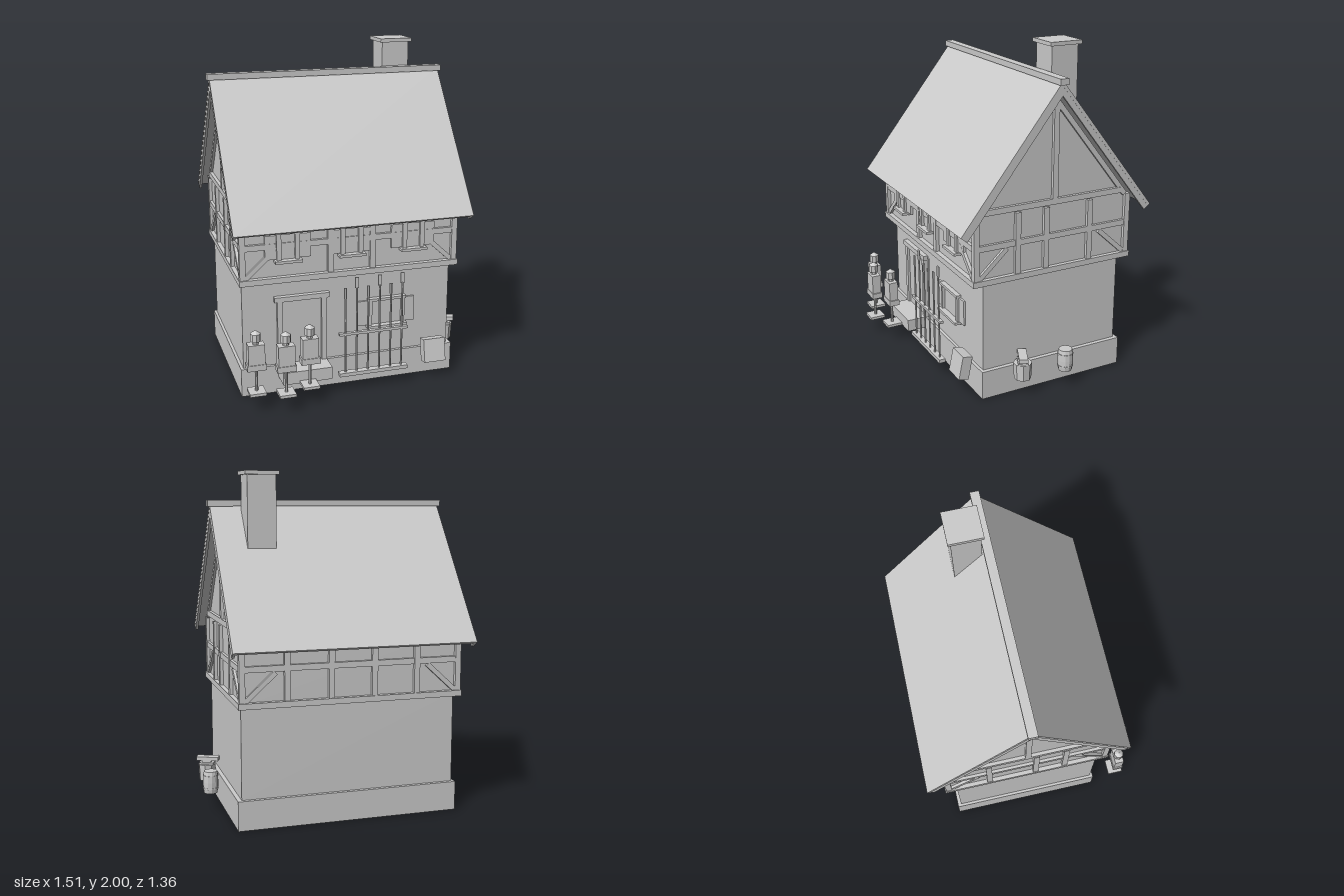
import * as THREE from 'three';

const grey = new THREE.MeshStandardMaterial({ color: 0xcccccc, flatShading: true });
grey.name = 'plain grey';
const CX = -0.0325, CZ = -0.0625; // middle of the house

function add(parent, name, geo, x = 0, y = 0, z = 0) {
  const m = new THREE.Mesh(geo, grey);
  m.name = name;
  m.position.set(x, y, z);
  parent.add(m);
  return m;
}

function group(parent, name, x = 0, y = 0, z = 0, ry = 0) {
  const g = new THREE.Group();
  g.name = name;
  g.position.set(x, y, z);
  g.rotation.y = ry;
  parent.add(g);
  return g;
}

// box given by its limits on each axis
function block(parent, name, x0, x1, y0, y1, z0, z1) {
  return add(parent, name, new THREE.BoxGeometry(x1 - x0, y1 - y0, z1 - z0),
    (x0 + x1) / 2, (y0 + y1) / 2, (z0 + z1) / 2);
}

// straight timber on a wall plane between two points
function beam(parent, name, ax, ay, bx, by, w = 0.034, d = 0.034) {
  const m = add(parent, name, new THREE.BoxGeometry(Math.hypot(bx - ax, by - ay), w, d),
    (ax + bx) / 2, (ay + by) / 2, 0);
  m.rotation.z = Math.atan2(by - ay, bx - ax);
  return m;
}

// cross-section (z, y), centred on the ridge line, drawn out along x
function alongX(parent, name, pts, x0, x1) {
  const shape = new THREE.Shape(pts.map(([z, y]) => new THREE.Vector2(-z, y)));
  const geo = new THREE.ExtrudeGeometry(shape, { depth: x1 - x0, bevelEnabled: false });
  geo.rotateY(Math.PI / 2);
  return add(parent, name, geo, x0, 0, CZ);
}

// inverted V of a given thickness under the roof surface
function roofProfile(t) {
  const run = 0.615, top = 1.82, low = 1.035;
  const len = Math.hypot(run, top - low);
  const nz = (top - low) / len * t, ny = run / len * t;
  const drop = t * len / run;
  return [[run, low], [0, top], [-run, low], [-run + nz, low - ny], [0, top - drop], [run - nz, low - ny]];
}

// framed window with a sill and open shutters, on the plane z = 0
function windowUnit(parent, x, y0, y1, w, shutter, sy0, sy1, bar) {
  const g = group(parent, 'window', x);
  const h = w / 2;
  block(g, 'windowPane', -h + bar, h - bar, y0, y1, -0.01, 0.008);
  for (const s of [-1, 1]) {
    const c = s * (h - bar / 2);
    block(g, 'windowJamb', c - bar / 2, c + bar / 2, y0, y1, -0.01, 0.025);
    const sc = s * (h + shutter / 2);
    block(g, 'shutter', sc - shutter / 2, sc + shutter / 2, sy0, sy1, -0.01, 0.012);
  }
  block(g, 'windowLintel', -h - 0.006, h + 0.006, y1 - bar * 0.8, y1, -0.01, 0.03);
  block(g, 'windowSill', -h - 0.012, h + 0.012, y0, y0 + 0.016, -0.01, 0.045);
}

// posts, rails and corner braces of one upper wall; posts run from -half to half
function timberWall(parent, name, x, z, ry, half, inner, top) {
  const g = group(parent, name, x, 0, z, ry);
  const edge = half - 0.017;
  for (const u of [-edge, ...inner, edge]) beam(g, 'post', u, 0.73, u, top);
  beam(g, 'middleRail', -edge, 0.923, edge, 0.923, 0.034, 0.028);
  for (const s of [-1, 1]) {
    beam(g, 'cornerBrace', s * (edge - 0.015), 0.74, s * (edge - 0.19), 0.9, 0.028, 0.026);
  }
  return g;
}

function dummy(parent, x, z) {
  const g = group(parent, 'trainingDummy', x, 0, z);
  block(g, 'dummyBase', -0.048, 0.048, 0.1, 0.117, -0.048, 0.048);
  add(g, 'dummyPost', new THREE.CylinderGeometry(0.009, 0.009, 0.15, 8), 0, 0.19, 0);
  block(g, 'dummyBelt', -0.056, 0.056, 0.25, 0.285, -0.032, 0.032);
  block(g, 'dummyTorso', -0.048, 0.048, 0.285, 0.405, -0.028, 0.028);
  add(g, 'dummyNeck', new THREE.CylinderGeometry(0.018, 0.018, 0.03, 8), 0, 0.415, 0);
  add(g, 'dummyHead', new THREE.CylinderGeometry(0.03, 0.03, 0.045, 8), 0, 0.445, 0);
  add(g, 'dummyCap', new THREE.ConeGeometry(0.03, 0.02, 8), 0, 0.477, 0);
}

export function createModel() {
  const model = new THREE.Group();
  model.name = 'timberFramedHouse';

  // masonry ground floor
  block(model, 'plinth', -0.69, 0.63, 0, 0.172, -0.53, 0.403);
  block(model, 'stoneWall', -0.673, 0.605, 0.172, 0.71, -0.508, 0.385);

  // jettied upper floor with its gables
  block(model, 'sillBeam', -0.695, 0.631, 0.704, 0.738, -0.58, 0.455);
  alongX(model, 'upperWall', [[0.488, 0.72], [0.488, 1.1], [0, 1.74], [-0.488, 1.1], [-0.488, 0.72]], -0.67, 0.606);

  const hx = 0.658, hz = 0.51, out = 0.017;
  const front = timberWall(model, 'frontTimbers', CX, CZ + hz - out, 0, hx, [-0.125, 0.13], 1.1);
  timberWall(model, 'backTimbers', CX, CZ - hz + out, Math.PI, hx, [-0.385, -0.128, 0.128, 0.385], 1.1);
  for (const s of [-1, 1]) {
    const posts = [-0.235, -0.053, 0.235].map(u => u * s);
    const side = timberWall(model, 'sideTimbers', CX + s * (hx - out), CZ, s * Math.PI / 2, hz, posts, 1.1);
    beam(side, 'gableTie', -0.45, 1.128, 0.45, 1.128);
    beam(side, 'kingPost', 0, 1.14, 0, 1.73);
    for (const k of [-1, 1]) beam(side, 'gableRafter', k * 0.475, 1.1, 0, 1.705, 0.03, 0.026);
  }

  // roof
  alongX(model, 'roof', roofProfile(0.018), -0.74, 0.68);
  for (const x of [-0.738, 0.663]) alongX(model, 'bargeBoard', roofProfile(0.05), x, x + 0.016);
  block(model, 'ridgeBeam', -0.755, 0.694, 1.8, 1.835, -0.09, -0.036);

  // chimney
  block(model, 'chimney', 0.332, 0.5, 1.5, 1.98, -0.264, -0.096);
  block(model, 'chimneyCap', 0.316, 0.516, 1.978, 2, -0.28, -0.08);

  // upper windows
  for (const x of [-0.41, -0.033, 0.346]) {
    windowUnit(front, x - CX, 0.825, 1.015, 0.135, 0.066, 0.845, 0.987, 0.027);
  }

  // ground floor window
  const lower = group(model, 'lowerWindow', 0, 0, 0.385);
  windowUnit(lower, 0.203, 0.34, 0.525, 0.225, 0.065, 0.355, 0.51, 0.02);

  // door and step
  block(model, 'door', -0.44, -0.2, 0.172, 0.57, 0.37, 0.393);
  for (const x of [-0.453, -0.187]) block(model, 'doorJamb', x - 0.016, x + 0.016, 0.172, 0.57, 0.37, 0.408);
  block(model, 'doorLintel', -0.486, -0.156, 0.57, 0.6, 0.37, 0.415);
  block(model, 'doorStep', -0.468, -0.172, 0.1, 0.175, 0.39, 0.525);

  // rack of polearms
  const rack = group(model, 'weaponRack', 0, 0, 0.503);
  block(rack, 'rackRail', -0.125, 0.3, 0.357, 0.373, -0.011, 0.011);
  block(rack, 'rackFoot', -0.125, 0.3, 0.1, 0.122, -0.02, 0.02);
  for (let i = 0; i < 6; i++) {
    const tall = i % 2 === 1, x = -0.087 + i * 0.07, top = 0.65;
    add(rack, 'pole', new THREE.CylinderGeometry(0.006, 0.006, top - 0.11, 6), x, (top + 0.11) / 2, 0);
    if (tall) block(rack, 'broadHead', x - 0.011, x + 0.011, 0.645, 0.71, -0.004, 0.004);
    else block(rack, 'narrowHead', x - 0.008, x + 0.008, 0.585, 0.65, -0.004, 0.004);
  }

  // leaning chest board
  const board = add(model, 'leaningBoard', new THREE.BoxGeometry(0.135, 0.142, 0.062), 0.483, 0.177, 0.469);
  board.rotation.x = -0.2;

  // training dummies
  for (const [x, z] of [[-0.635, 0.568], [-0.477, 0.632], [-0.323, 0.575]]) dummy(model, x, z);

  // barrel
  const barrel = group(model, 'barrel', 0.707, 0, -0.103);
  const stave = [[0, 0.105], [0.04, 0.105], [0.045, 0.135], [0.046, 0.172], [0.045, 0.21], [0.04, 0.238], [0, 0.238]];
  add(barrel, 'barrelBody', new THREE.LatheGeometry(stave.map(p => new THREE.Vector2(...p)), 12));
  for (const y of [0.135, 0.21]) add(barrel, 'barrelHoop', new THREE.CylinderGeometry(0.047, 0.047, 0.008, 12), 0, y, 0);

  // anvil on a stump
  const anvil = group(model, 'anvil', 0.68, 0, 0.168, -0.42);
  add(anvil, 'stump', new THREE.CylinderGeometry(0.055, 0.05, 0.1, 8), 0, 0.155, 0);
  block(anvil, 'anvilFoot', -0.045, 0.045, 0.204, 0.216, -0.03, 0.03);
  block(anvil, 'anvilWaist', -0.028, 0.028, 0.214, 0.232, -0.018, 0.018);
  block(anvil, 'anvilFace', -0.075, 0.062, 0.228, 0.252, -0.026, 0.026);

  return model;
}
